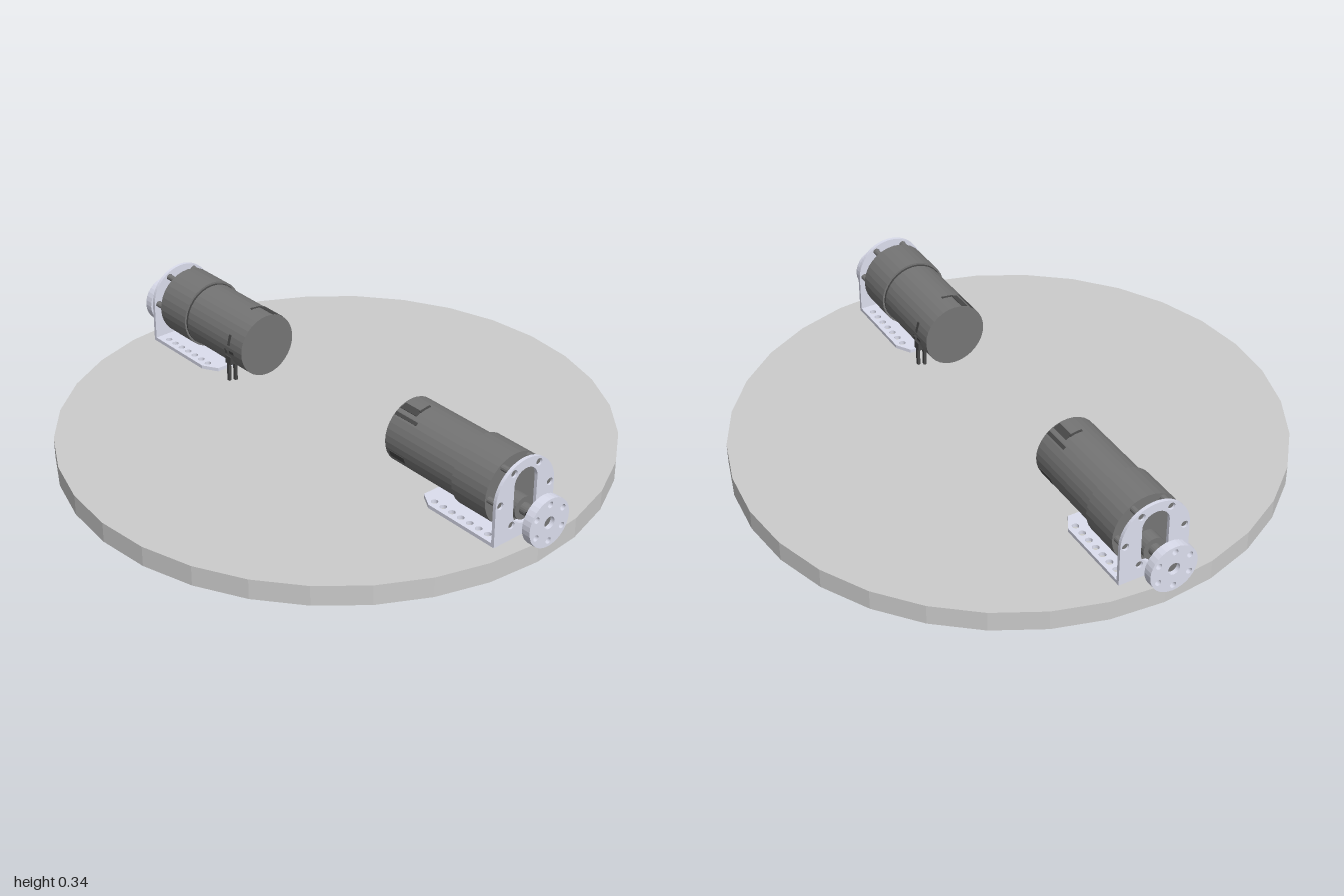
import * as THREE from 'three';

const grey = new THREE.MeshStandardMaterial({ color: 0xcccccc, flatShading: true });
const dark = new THREE.MeshStandardMaterial({ color: 0x757575, flatShading: true });
const black = new THREE.MeshStandardMaterial({ color: 0x484848, flatShading: true });
const metal = new THREE.MeshStandardMaterial({ color: 0xdcdeee, flatShading: true });

const MOTOR_Y = 0.215, SHAFT_Y = 0.165;

function add(parent, name, geometry, material, x = 0, y = 0, z = 0) {
  const mesh = new THREE.Mesh(geometry, material);
  mesh.name = name;
  mesh.position.set(x, y, z);
  parent.add(mesh);
  return mesh;
}

// Cylinder along z between two z values
function rod(parent, name, r, z0, z1, y, material, x = 0, sides = 32) {
  const g = new THREE.CylinderGeometry(r, r, z1 - z0, sides).rotateX(Math.PI / 2);
  return add(parent, name, g, material, x, y, (z0 + z1) / 2);
}

function hole(shape, x, y, r) {
  shape.holes.push(new THREE.Path().absarc(x, y, r, 0, Math.PI * 2, true));
}

function extrude(shape, depth) {
  return new THREE.ExtrudeGeometry(shape, { depth, bevelEnabled: false, curveSegments: 16 });
}

function createBracket() {
  const bracket = new THREE.Group();
  bracket.name = 'bracket';

  // Upright face with arched top, slot and screw holes
  const face = new THREE.Shape();
  face.moveTo(-0.127, 0.072);
  face.lineTo(0.127, 0.072);
  face.lineTo(0.127, 0.218);
  face.absarc(0, 0.218, 0.127, 0, Math.PI, false);
  face.closePath();
  const slot = new THREE.Path();
  slot.absarc(0, 0.262, 0.05, 0, Math.PI, false);
  slot.absarc(0, 0.165, 0.05, Math.PI, Math.PI * 2, false);
  slot.closePath();
  face.holes.push(slot);
  for (let i = 0; i < 6; i++) {
    const a = i * Math.PI / 3;
    hole(face, 0.108 * Math.cos(a), 0.218 + 0.108 * Math.sin(a), 0.013);
  }
  add(bracket, 'bracketFace', extrude(face, 0.012), metal, 0, 0, 0.882);

  // Foot with cut corners and a row of holes on each side (shape y is -z)
  const foot = new THREE.Shape();
  foot.moveTo(-0.127, -0.894);
  foot.lineTo(0.127, -0.894);
  foot.lineTo(0.127, -0.6);
  foot.lineTo(0.095, -0.545);
  foot.lineTo(-0.095, -0.545);
  foot.lineTo(-0.127, -0.6);
  foot.closePath();
  for (const side of [-1, 1])
    for (let i = 0; i < 7; i++) hole(foot, side * 0.1, -0.6 - i * 0.04, 0.012);
  add(bracket, 'bracketFoot', extrude(foot, 0.013).rotateX(-Math.PI / 2), metal, 0, 0.072, 0);
  return bracket;
}

function createHub() {
  const hub = new THREE.Group();
  hub.name = 'wheelHub';
  const disc = new THREE.Shape().absarc(0, 0, 0.086, 0, Math.PI * 2, false);
  hole(disc, 0, 0, 0.022);
  for (let i = 0; i < 6; i++) {
    const a = Math.PI / 6 + i * Math.PI / 3;
    hole(disc, 0.065 * Math.cos(a), 0.065 * Math.sin(a), 0.011);
  }
  add(hub, 'hubDisc', extrude(disc, 0.032), metal, 0, SHAFT_Y, 0.968);
  const collar = new THREE.Shape().absarc(0, 0, 0.042, 0, Math.PI * 2, false);
  hole(collar, 0, 0, 0.022);
  add(hub, 'hubCollar', extrude(collar, 0.03), metal, 0, SHAFT_Y, 0.938);
  // Clamp screw across the collar
  add(hub, 'clampScrew', new THREE.CylinderGeometry(0.01, 0.01, 0.05, 12).rotateZ(Math.PI / 2),
    black, -0.024, SHAFT_Y + 0.026, 0.953);
  return hub;
}

function createMotor() {
  const motor = new THREE.Group();
  motor.name = 'motorUnit';
  rod(motor, 'motorBody', 0.115, 0.378, 0.695, MOTOR_Y, dark);
  rod(motor, 'seam', 0.118, 0.692, 0.697, MOTOR_Y, black);
  rod(motor, 'gearbox', 0.125, 0.697, 0.845, MOTOR_Y, dark);
  rod(motor, 'shaftBoss', 0.04, 0.84, 0.892, SHAFT_Y, dark, 0, 24);
  rod(motor, 'shaft', 0.021, 0.88, 0.985, SHAFT_Y, dark, 0, 20);

  // Spacers between gearbox and bracket, with screw heads
  for (let i = 0; i < 6; i++) {
    const a = i * Math.PI / 3;
    rod(motor, 'mountScrew', 0.011, 0.84, 0.888, MOTOR_Y + 0.003 + 0.108 * Math.sin(a),
      dark, 0.108 * Math.cos(a), 12);
  }

  // Shallow vent slots around the rear cap: [angle, z, width, length]
  const vents = [[1.95, 0.42, 0.025, 0.075], [2.25, 0.43, 0.012, 0.1], [1.7, 0.455, 0.045, 0.008],
    [0.25, 0.45, 0.04, 0.012], [-0.15, 0.45, 0.012, 0.05], [3.5, 0.43, 0.025, 0.07]];
  for (const [a, z, w, l] of vents) {
    const v = add(motor, 'ventSlot', new THREE.BoxGeometry(0.004, w, l), black,
      0.114 * Math.cos(a), MOTOR_Y + 0.114 * Math.sin(a), z);
    v.rotation.z = a;
  }

  // Wire terminals hanging at the lower left side
  for (const [x, z] of [[0.085, 0.455], [0.105, 0.465]])
    add(motor, 'terminal', new THREE.BoxGeometry(0.01, 0.08, 0.012), black, x, 0.115, z);
  add(motor, 'terminalBlock', new THREE.BoxGeometry(0.035, 0.03, 0.03), black, 0.095, 0.16, 0.46);
  add(motor, 'terminalTab', new THREE.BoxGeometry(0.012, 0.012, 0.012), black, 0.117, 0.2, 0.455);

  motor.add(createBracket(), createHub());
  return motor;
}

export function createModel() {
  const model = new THREE.Group();
  model.name = 'twoMotorBase';
  add(model, 'basePlate', new THREE.CylinderGeometry(0.962, 0.962, 0.072, 32), grey, 0, 0.036, 0);
  // The same motor unit at the front and, turned round, at the back
  for (const turn of [0, Math.PI]) {
    const motor = createMotor();
    motor.rotation.y = turn;
    model.add(motor);
  }
  return model;
}
